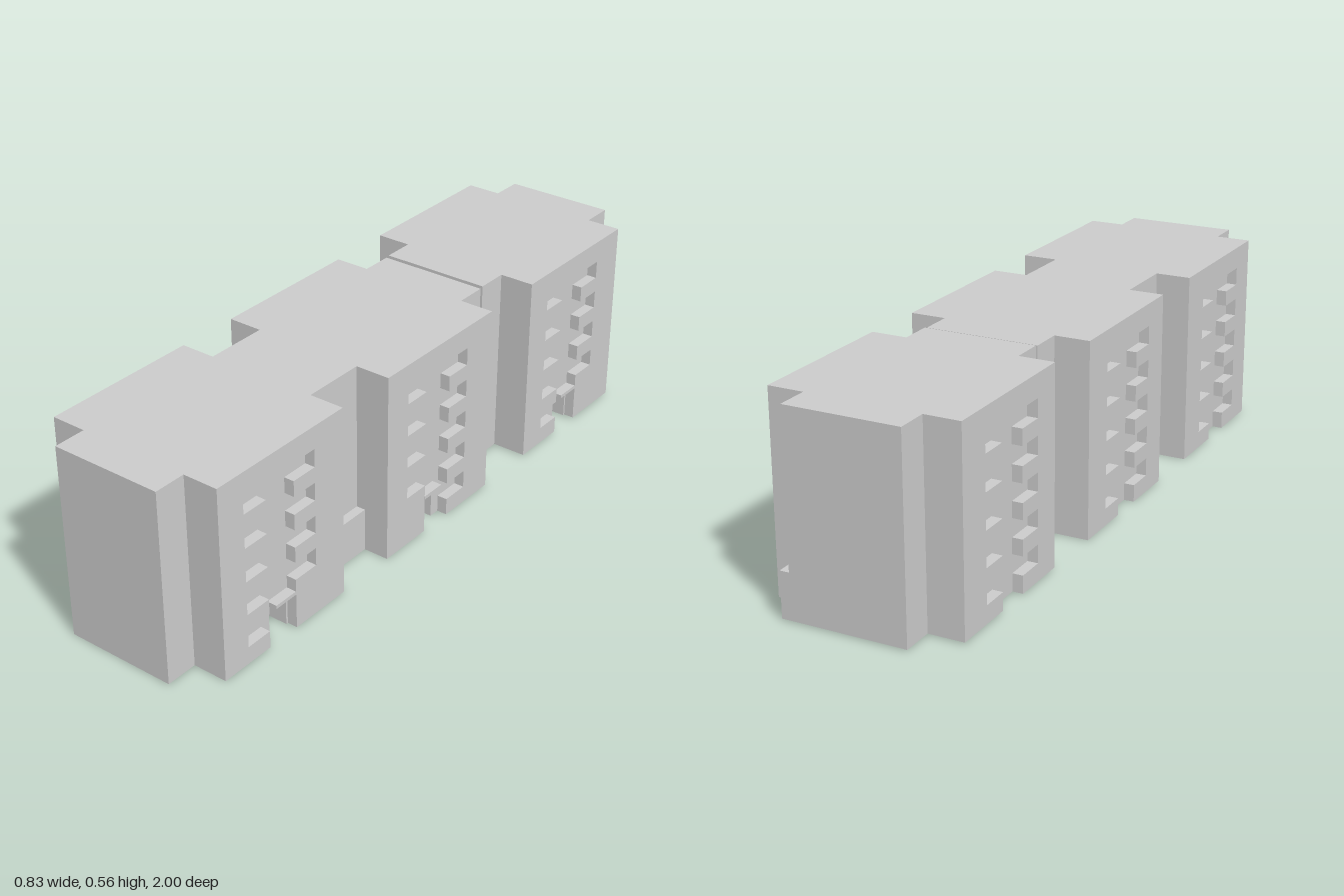
import * as THREE from 'three';

const MAT = new THREE.MeshStandardMaterial({ color: 0xcccccc, side: THREE.DoubleSide, flatShading: true });
const H = 0.557;            // wall height
const CORE = 0.163, WING = 0.265;   // half widths across the block
const END = 0.3265, BAY = 0.233;    // half lengths along the block
const DEPTH = 0.03;         // depth of the facade recess
const V3 = (x, y, z) => new THREE.Vector3(x, y, z);

function add(parent, name, geometry) {
  const mesh = new THREE.Mesh(geometry, MAT);
  mesh.name = name;
  parent.add(mesh);
  return mesh;
}

// Open band of flat quads: a path swept along one offset
function ribbon(path, offset) {
  const pos = [];
  for (let i = 0; i < path.length - 1; i++) {
    const a = path[i], b = path[i + 1];
    const c = b.clone().add(offset), d = a.clone().add(offset);
    for (const p of [a, b, c, a, c, d]) pos.push(p.x, p.y, p.z);
  }
  const g = new THREE.BufferGeometry();
  g.setAttribute('position', new THREE.Float32BufferAttribute(pos, 3));
  g.computeVertexNormals();
  return g;
}

// Flat upright panel in the plane x = const, drawn with [z, y] points
function panel(points, x) {
  const shape = new THREE.Shape(points.map(([z, y]) => new THREE.Vector2(z, y)));
  return new THREE.ShapeGeometry(shape).rotateY(-Math.PI / 2).translate(x, 0, 0);
}

// Comb outline of the balcony recess: a shaft with five side bays per side
function combPath(center, hasDoor) {
  const shaft = 0.052, bay = 0.133, low = [], high = [];
  for (let i = 0; i < 5; i++) {
    const y0 = 0.05 + i * 0.0975, y1 = y0 + 0.052;
    const steps = [[shaft, y0], [bay, y0], [bay, y1], [shaft, y1]];
    if (!(hasDoor && i === 0)) low.push(...steps.map(([z, y]) => [center - z, y]));
    high.push(...steps.map(([z, y]) => [center + z, y]));
  }
  return [[center - shaft, 0], ...low, ...high.reverse(), [center + shaft, 0]];
}

function facade(parent, side, center, hasDoor) {
  const group = new THREE.Group();
  group.name = hasDoor ? 'entranceFacade' : 'rearFacade';
  parent.add(group);
  const x = side * WING, back = side * (WING - DEPTH);
  const comb = combPath(center, hasDoor);
  add(group, 'facadeWall', panel([[-BAY, 0], ...comb, [BAY, 0], [BAY, H], [-BAY, H]], x));
  add(group, 'recessSides', ribbon(comb.map(([z, y]) => V3(x, y, z)), V3(back - x, 0, 0)));

  const a = center - 0.046, b = center + 0.02, top = 0.1;
  const door = [[b, 0], [b, top], [a, top], [a, 0]];
  add(group, 'recessBack', panel(hasDoor ? [...comb, ...door] : comb, back));
  if (!hasDoor) return;

  // Entrance passage running into the block, with a thin canopy over it
  const length = 0.39;
  add(group, 'passage', ribbon(door.map(([z, y]) => V3(back, y, z)), V3(-side * length, 0, 0)));
  add(group, 'passageEnd', panel(door, back - side * length));
  add(group, 'canopy', new THREE.BoxGeometry(DEPTH, 0.01, b - a + 0.01)
    .translate((x + back) / 2, top + 0.007, (a + b) / 2));
}

// One cross-shaped block, open underneath; flip mirrors it lengthwise
function block(name, z, y, flip, joinedEnd) {
  const g = new THREE.Group();
  g.name = name;
  g.position.set(0, y, z);
  g.scale.z = flip;

  const up = V3(0, H, 0), outline = [];
  for (const s of [-1, 1]) {
    const half = [[WING, BAY], [CORE, BAY], [CORE, END]];
    for (const m of [1, -1]) {
      add(g, 'cornerWalls', ribbon(half.map(([u, v]) => V3(m * u, 0, s * v)), up));
    }
    if (s !== joinedEnd) add(g, 'endWall', ribbon([V3(-CORE, 0, s * END), V3(CORE, 0, s * END)], up));
    const loop = [...half, ...half.map(([u, v]) => [-u, v]).reverse()];
    outline.push(...loop.map(([u, v]) => new THREE.Vector2(-s * u, -s * v)));
  }
  add(g, 'roof', new THREE.ShapeGeometry(new THREE.Shape(outline)).rotateX(-Math.PI / 2).translate(0, H, 0));

  facade(g, 1, 0.012 * flip, true);
  facade(g, -1, 0.008 * flip, false);

  // Low annex in the corner beside the entrance wing
  const w = 0.027, l = END - BAY, h = 0.128;
  add(g, 'annex', new THREE.BoxGeometry(w, h, l).translate(CORE + w / 2, h / 2, -(BAY + END) / 2));
  return g;
}

export function createModel() {
  const model = new THREE.Group();
  model.name = 'apartmentBuilding';
  const row = new THREE.Group();
  row.name = 'blockRow';
  row.rotation.y = -THREE.MathUtils.degToRad(10);
  row.position.z = 0.004;
  row.add(
    block('frontBlock', 0.653, 0, 1, -1),
    block('middleBlock', 0, 0, -1, -1),
    block('rearBlock', -0.663, 0.003, 1, 0),
  );
  model.add(row);
  return model;
}
